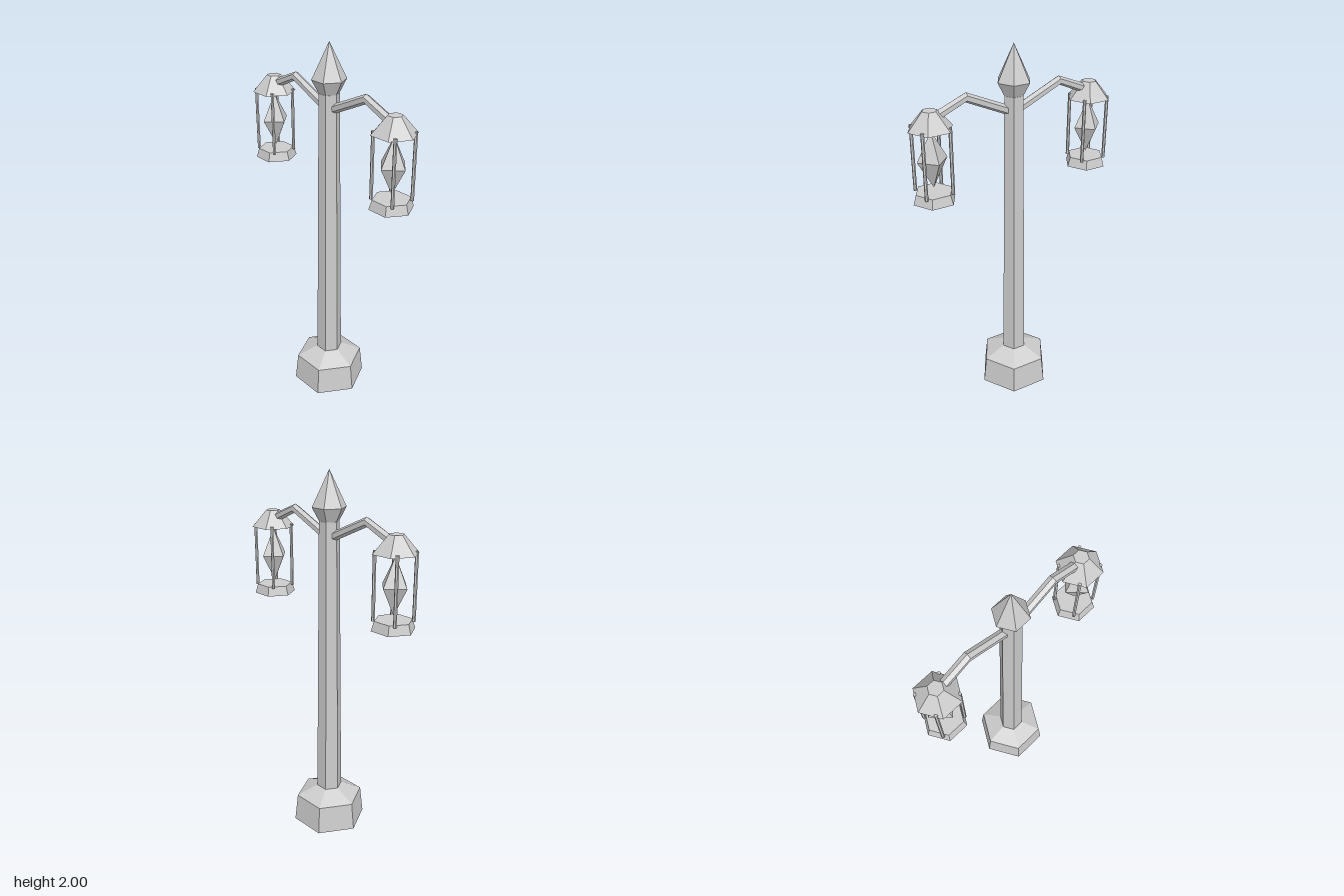
import * as THREE from 'three';

const stone = new THREE.MeshStandardMaterial({ color: 0xcccccc, flatShading: true });
stone.name = 'paleGrey';

function add(parent, name, geometry, x = 0, y = 0, z = 0) {
  const mesh = new THREE.Mesh(geometry, stone);
  mesh.name = name;
  mesh.position.set(x, y, z);
  parent.add(mesh);
  return mesh;
}

// Closed hexagonal solid from [radius, y] rings, with corners on the x axis
function hexSolid(rings) {
  const points = rings.map(([r, y]) => new THREE.Vector2(r, y));
  return new THREE.LatheGeometry(points, 6, Math.PI / 6).toNonIndexed();
}

// Bent bar with a hexagonal section (ridge on top) swept through mitred stations
function barGeometry(path, radius) {
  const positions = [];
  const index = [];
  path.forEach(([x, y], i) => {
    const [ax, ay] = path[Math.max(i - 1, 0)];
    const [bx, by] = path[Math.min(i + 1, path.length - 1)];
    const length = Math.hypot(bx - ax, by - ay);
    const nx = -(by - ay) / length;
    const ny = (bx - ax) / length;
    for (let k = 0; k < 6; k++) {
      const a = (k * Math.PI) / 3;
      const h = Math.cos(a) * radius;
      positions.push(x + nx * h, y + ny * h, Math.sin(a) * radius);
    }
  });
  for (let i = 0; i < path.length - 1; i++) {
    for (let k = 0; k < 6; k++) {
      const a = i * 6 + k;
      const b = i * 6 + ((k + 1) % 6);
      index.push(a, b, a + 6, b, b + 6, a + 6);
    }
  }
  const last = (path.length - 1) * 6;
  for (let k = 1; k < 5; k++) {
    index.push(0, k + 1, k, last, last + k, last + k + 1);
  }
  const geometry = new THREE.BufferGeometry();
  geometry.setAttribute('position', new THREE.Float32BufferAttribute(positions, 3));
  geometry.setIndex(index);
  const flat = geometry.toNonIndexed();
  flat.computeVertexNormals();
  return flat;
}

function createLantern() {
  const lantern = new THREE.Group();
  add(lantern, 'lanternRoof', hexSolid([[0, 1.655], [0.116, 1.655], [0.038, 1.745], [0, 1.745]]));
  add(lantern, 'lanternTray', hexSolid([[0, 1.28], [0.113, 1.28], [0.098, 1.33], [0, 1.33]]));

  // Four corner rods, just breaking through the roof
  for (const sx of [-1, 1]) {
    for (const sz of [-1, 1]) {
      add(lantern, 'lanternRod', new THREE.CylinderGeometry(0.009, 0.009, 0.345, 6), sx * 0.071, 1.495, sz * 0.068);
    }
  }

  // Stretched eight-faced crystal
  const crystal = add(lantern, 'crystal', new THREE.OctahedronGeometry(1), 0, 1.497, 0);
  crystal.scale.set(0.08, 0.147, 0.08);
  return lantern;
}

export function createModel() {
  const model = new THREE.Group();
  model.name = 'streetLamp';

  // Plinth, tapered post and pointed finial
  add(model, 'plinth', hexSolid([[0, 0], [0.205, 0], [0.188, 0.155], [0.075, 0.21], [0, 0.21]]));
  add(model, 'post', hexSolid([[0, 0.2], [0.071, 0.2], [0.054, 1.745], [0, 1.745]]));
  add(model, 'finial', hexSolid([[0, 1.74], [0.05, 1.74], [0.09, 1.815], [0, 2]]));

  // Arms and lanterns on both sides
  for (const side of [1, -1]) {
    const arm = add(
      model,
      side > 0 ? 'leftArm' : 'rightArm',
      barGeometry([[0.02, 1.665], [0.265, 1.776], [0.41, 1.714]], 0.024)
    );
    if (side < 0) arm.rotation.y = Math.PI;
    const lantern = createLantern();
    lantern.name = side > 0 ? 'leftLantern' : 'rightLantern';
    lantern.position.x = side * 0.454;
    model.add(lantern);
  }
  return model;
}
